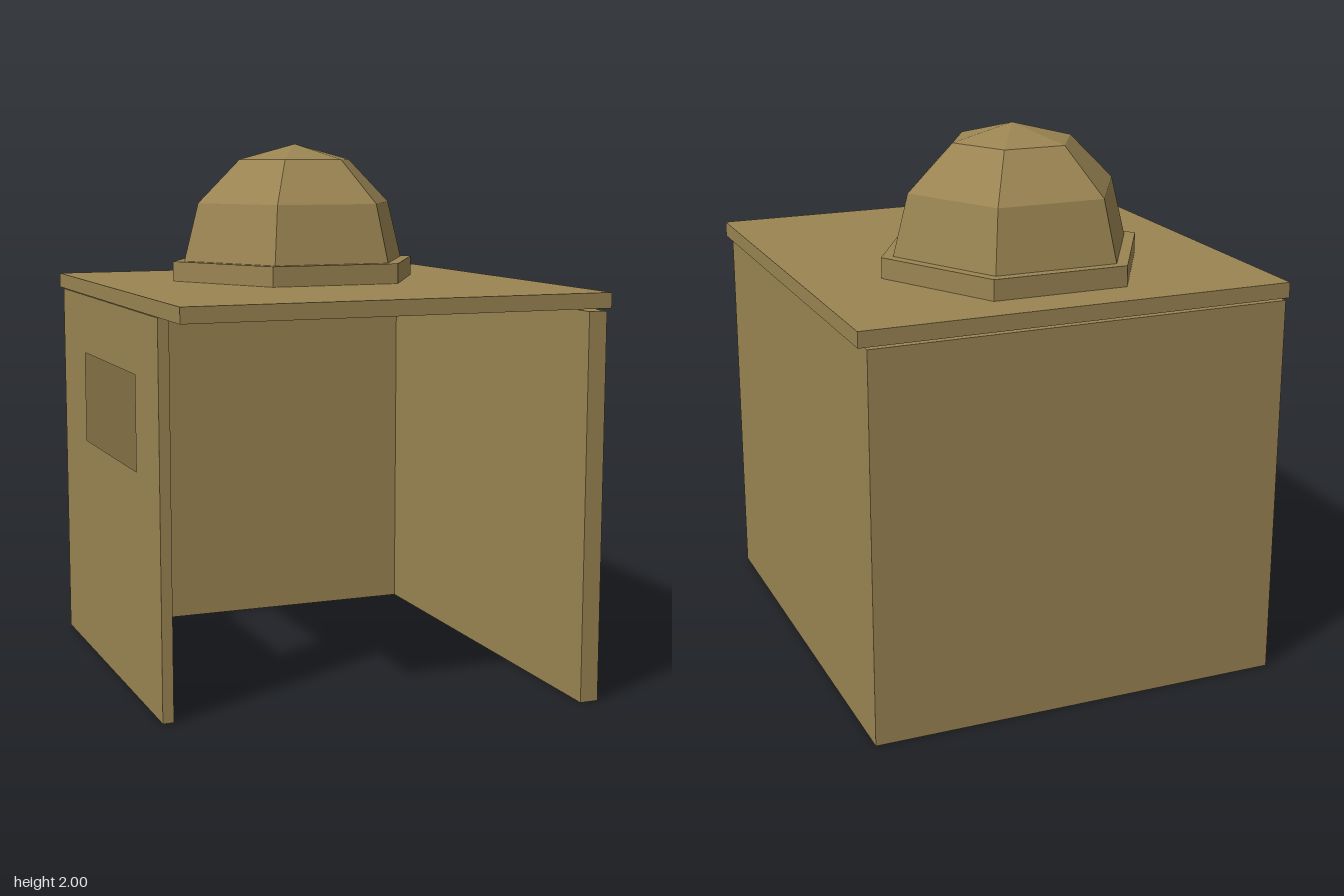
import * as THREE from 'three';

const material = new THREE.MeshStandardMaterial({ color: 0x9a8452, flatShading: true });

function addMesh(parent, name, geometry) {
  const mesh = new THREE.Mesh(geometry, material);
  mesh.name = name;
  parent.add(mesh);
  return mesh;
}

// Box given by its two extremes on each axis
function addSlab(parent, name, [x0, x1], [y0, y1], [z0, z1]) {
  const mesh = addMesh(parent, name, new THREE.BoxGeometry(x1 - x0, y1 - y0, z1 - z0));
  mesh.position.set((x0 + x1) / 2, (y0 + y1) / 2, (z0 + z1) / 2);
  return mesh;
}

function rectangle(PathType, z0, z1, y0, y1) {
  const path = new PathType();
  path.moveTo(-z0, y0);
  path.lineTo(-z1, y0);
  path.lineTo(-z1, y1);
  path.lineTo(-z0, y1);
  path.closePath();
  return path;
}

export function createModel() {
  const booth = new THREE.Group();
  booth.name = 'booth';

  const wallTop = 1.417;
  const back = -0.847, backInner = -0.8;

  // Walls: closed back, long solid side, shorter side with a window
  addSlab(booth, 'backWall', [-0.78, 0.76], [0, wallTop], [back, backInner]);
  addSlab(booth, 'solidSideWall', [0.69, 0.76], [0, wallTop], [backInner, 0.847]);

  const side = rectangle(THREE.Shape, backInner, 0.52, 0, wallTop);
  side.holes.push(rectangle(THREE.Path, -0.5, 0.225, 0.84, 1.19));
  const windowWall = addMesh(booth, 'windowSideWall',
    new THREE.ExtrudeGeometry(side, { depth: 0.04, bevelEnabled: false }));
  windowWall.rotation.y = Math.PI / 2; // shape x runs along -z, depth along +x
  windowWall.position.x = -0.78;

  // Flat roof, a hair above the walls
  addSlab(booth, 'roof', [-0.795, 0.79], [1.424, 1.48], [-0.845, 0.828]);

  // Hexagonal beacon: plinth and faceted dome
  const beacon = new THREE.Group();
  beacon.name = 'beacon';
  beacon.position.set(0.006, 1.48, -0.25);
  booth.add(beacon);

  const plinth = addMesh(beacon, 'beaconPlinth',
    new THREE.CylinderGeometry(0.498, 0.498, 0.075, 6, 1, false, Math.PI / 6));
  plinth.position.y = 0.0375;

  const profile = [[0.453, 0.075], [0.396, 0.295], [0.227, 0.461], [0, 0.52]]
    .map(([r, y]) => new THREE.Vector2(r, y));
  addMesh(beacon, 'beaconDome', new THREE.LatheGeometry(profile, 6, Math.PI / 6));

  return booth;
}
